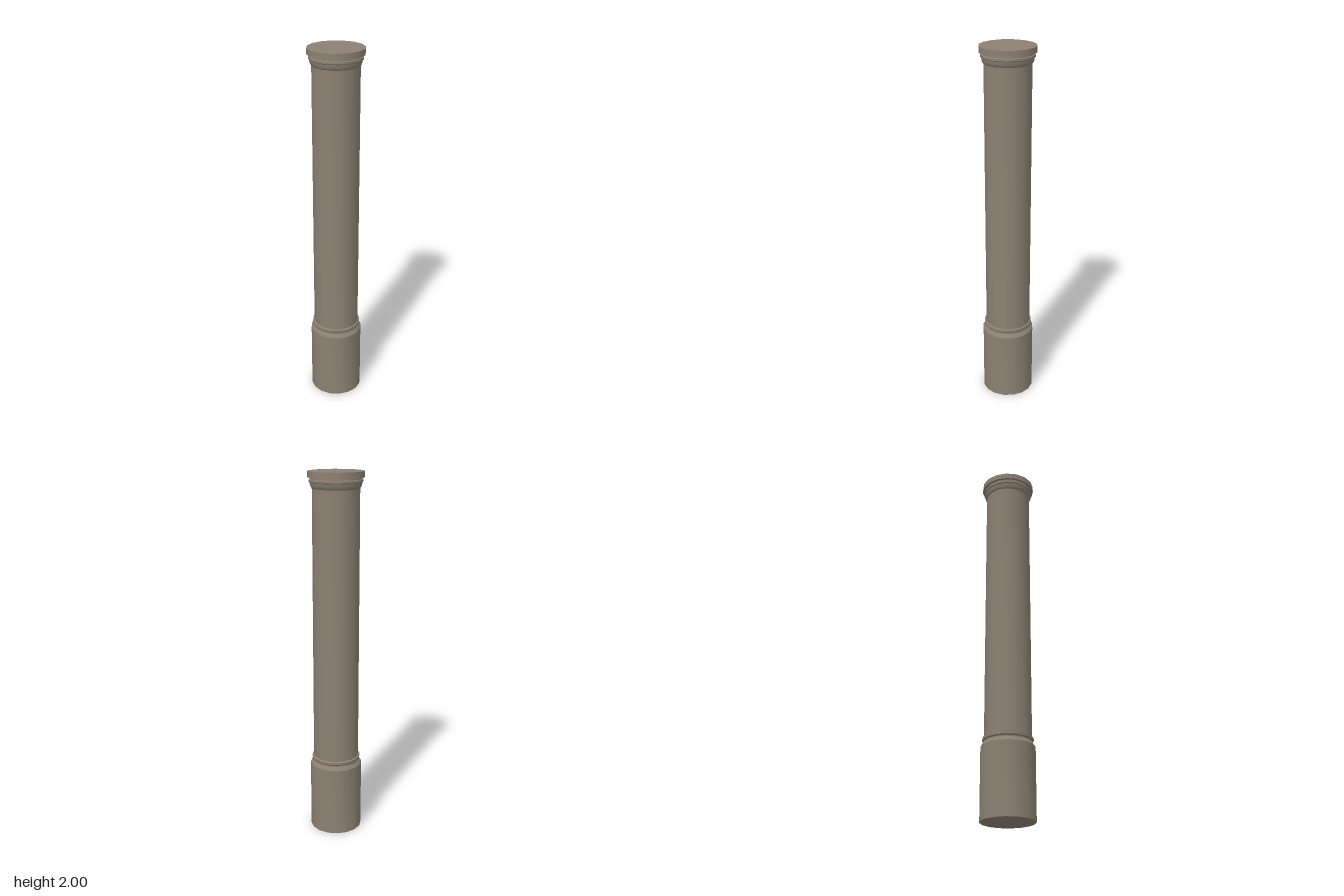
import * as THREE from 'three';
import { toCreasedNormals } from 'three/addons/utils/BufferGeometryUtils.js';

const SIDES = 16;

// Profiles of [radius, height], each running upwards and meeting the next part
const PARTS = {
  pedestal: [[0, 0], [0.143, 0], [0.143, 0.385]],
  baseMoulding: [
    [0.143, 0.385], [0.133, 0.4], [0.129, 0.405], [0.129, 0.412],
    [0.134, 0.418], [0.134, 0.43], [0.125, 0.433],
  ],
  shaft: [[0.125, 0.433], [0.125, 1.912]],
  capitalMoulding: [
    [0.125, 1.912], [0.131, 1.92], [0.135, 1.934], [0.136, 1.942],
    [0.141, 1.946], [0.141, 1.957], [0.136, 1.96], [0.136, 1.968],
  ],
  topSlab: [[0.136, 1.968], [0.149, 1.968], [0.149, 2], [0, 2]],
};

export function createModel() {
  const column = new THREE.Group();
  column.name = 'column';
  const stone = new THREE.MeshStandardMaterial({ color: 0x8c8072 });

  // Turn each profile around the axis, smooth around but sharp at the mouldings
  for (const [name, profile] of Object.entries(PARTS)) {
    const points = profile.map(([r, y]) => new THREE.Vector2(r, y));
    const geometry = toCreasedNormals(new THREE.LatheGeometry(points, SIDES), 0.5);
    const mesh = new THREE.Mesh(geometry, stone);
    mesh.name = name;
    column.add(mesh);
  }
  return column;
}
